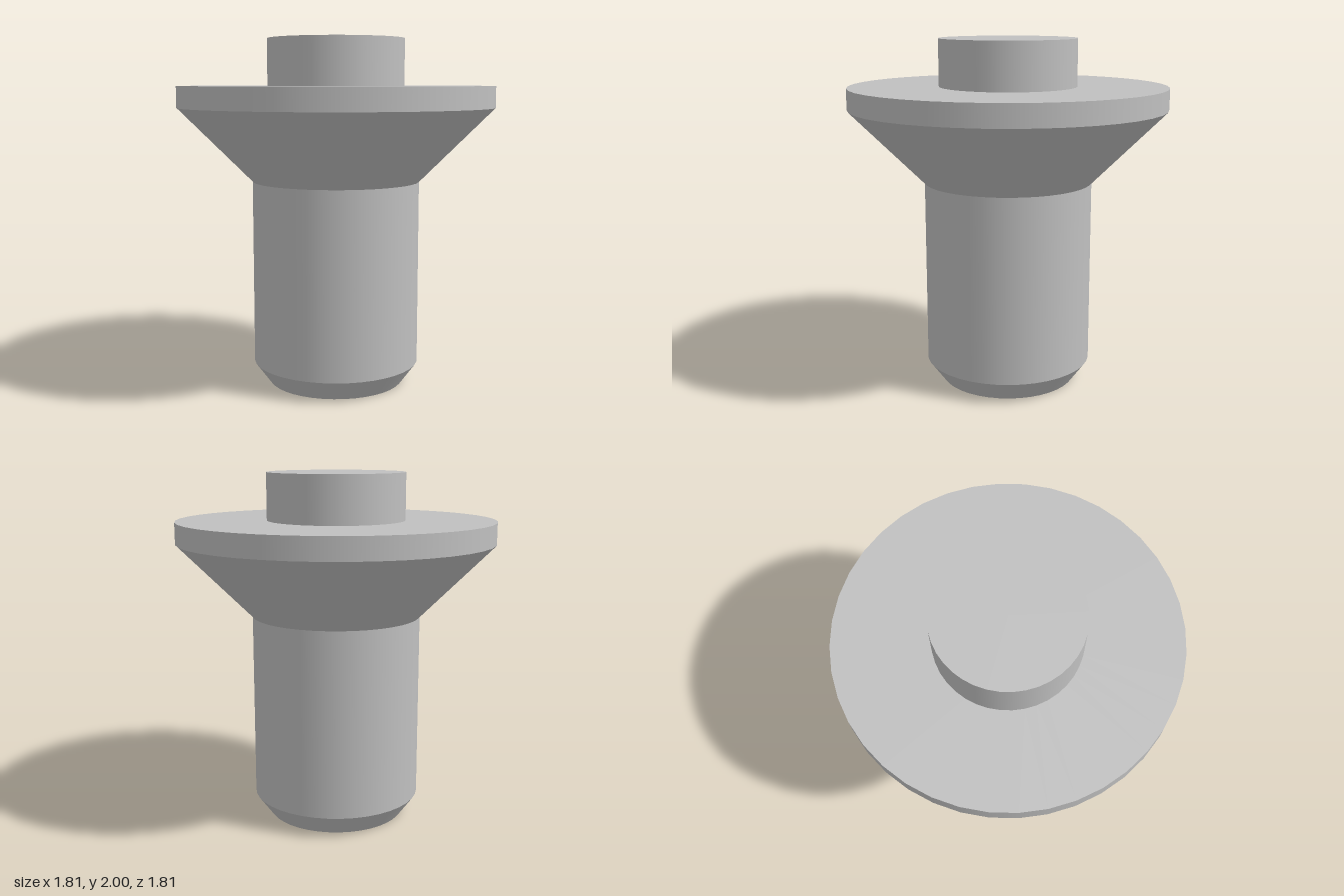
import * as THREE from 'three';

const SEGMENTS = 40;

export function createModel() {
  const model = new THREE.Group();
  model.name = 'countersunkPin';

  const steel = new THREE.MeshStandardMaterial({ color: 0xc0c0c0 });
  steel.name = 'plain steel grey';

  // One round section between two heights, with optional end faces
  function section(name, bottomY, topY, bottomRadius, topRadius) {
    const height = topY - bottomY;
    const geometry = new THREE.CylinderGeometry(topRadius, bottomRadius, height, SEGMENTS, 1, true);
    const mesh = new THREE.Mesh(geometry, steel);
    mesh.name = name;
    mesh.position.y = bottomY + height / 2;
    model.add(mesh);
  }

  // Flat horizontal face: a disc, or a ring when it has an inner radius
  function face(name, y, outerRadius, innerRadius, up) {
    const geometry = innerRadius > 0
      ? new THREE.RingGeometry(innerRadius, outerRadius, SEGMENTS)
      : new THREE.CircleGeometry(outerRadius, SEGMENTS);
    geometry.rotateX(up ? -Math.PI / 2 : Math.PI / 2);
    const mesh = new THREE.Mesh(geometry, steel);
    mesh.name = name;
    mesh.position.y = y;
    model.add(mesh);
  }

  // Shank with its chamfered tip
  face('tipFace', 0, 0.393, 0, false);
  section('tipChamfer', 0, 0.122, 0.393, 0.483);
  section('shank', 0.122, 1.186, 0.483, 0.483);

  // Conical head with a straight rim
  section('headCone', 1.186, 1.61, 0.483, 0.907);
  section('headRim', 1.61, 1.732, 0.907, 0.907);
  face('headTop', 1.732, 0.907, 0.393, true);

  // Short stud on top
  section('topStud', 1.732, 2, 0.393, 0.393);
  face('studTop', 2, 0.393, 0, true);

  return model;
}
